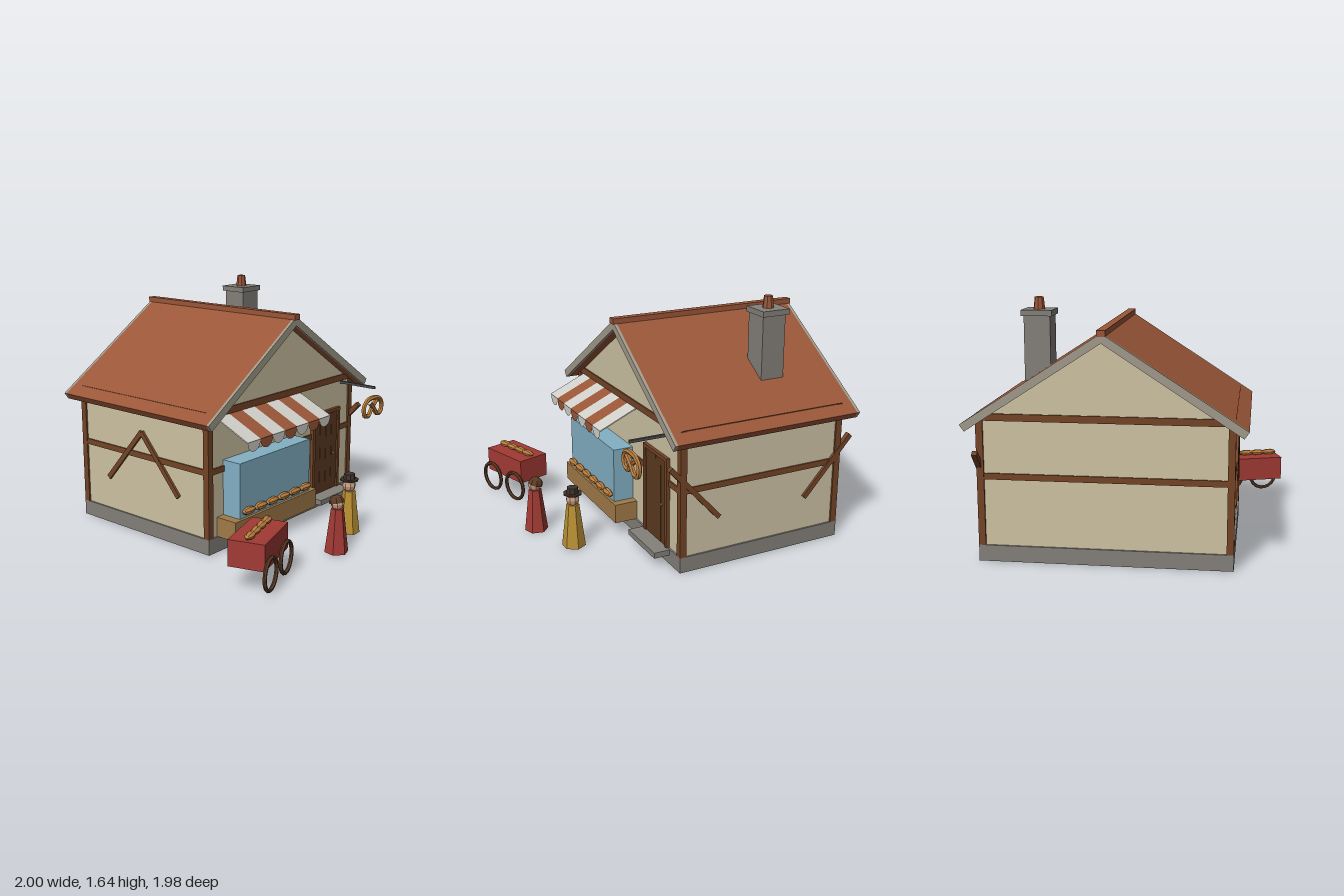
import * as THREE from 'three';

const COLORS = {
  plaster: 0xcdc2a3, wood: 0x734426, door: 0x5c391f, stone: 0x84807a, brick: 0x9a5638,
  trim: 0xa09a8a, glass: 0x83b0c4, counter: 0xa07a48, cloth: 0xd2d0ca, bread: 0xb97c3c,
  red: 0xa23a34, gold: 0xb98f34, skin: 0xc99e80, dark: 0x3f342a, wheel: 0x5a3a25, iron: 0x4a4a4a,
};
const mats = {};
for (const k in COLORS) {
  mats[k] = new THREE.MeshStandardMaterial({ color: COLORS[k], flatShading: true });
}
mats.cloth.side = mats.brick.side = THREE.DoubleSide;

function add(parent, name, geo, mat, x = 0, y = 0, z = 0) {
  const m = new THREE.Mesh(geo, mats[mat]);
  m.name = name;
  m.position.set(x, y, z);
  parent.add(m);
  return m;
}

// Box given by its min and max corners
function box(parent, name, mat, x0, x1, y0, y1, z0, z1) {
  return add(parent, name, new THREE.BoxGeometry(x1 - x0, y1 - y0, z1 - z0), mat,
    (x0 + x1) / 2, (y0 + y1) / 2, (z0 + z1) / 2);
}

// Outline in x,y extruded from z0 to z1
function slab(parent, name, mat, pts, z0, z1) {
  const shape = new THREE.Shape(pts.map(p => new THREE.Vector2(...p)));
  const geo = new THREE.ExtrudeGeometry(shape, { depth: z1 - z0, bevelEnabled: false });
  return add(parent, name, geo, mat, 0, 0, z0);
}

const X0 = -0.69, X1 = 0.92, Z0 = -0.905, Z1 = 0.30, CX = 0.113, CZ = -0.305;

function buildHouse(g) {
  box(g, 'foundation', 'stone', X0, X1, 0, 0.105, Z0, Z1);
  slab(g, 'walls', 'plaster', [[X0 + 0.012, 0.1], [X1 - 0.012, 0.1], [X1 - 0.012, 0.91],
    [CX, 1.42], [X0 + 0.012, 0.91]], Z0 + 0.012, Z1 - 0.012);

  // Timber frame
  for (const x of [X0, X1 - 0.045])
    for (const z of [Z0, Z1 - 0.045]) box(g, 'cornerPost', 'wood', x, x + 0.045, 0.105, 0.952, z, z + 0.045);
  for (const [y0, y1] of [[0.535, 0.575], [0.91, 0.955]]) {
    for (const z of [Z0 + 0.002, Z1 - 0.032]) box(g, 'crossBeam', 'wood', X0 + 0.02, X1 - 0.02, y0, y1, z, z + 0.03);
    for (const x of [X0 + 0.002, X1 - 0.032]) box(g, 'sideBeam', 'wood', x, x + 0.03, y0, y1, Z0 + 0.01, Z1 - 0.01);
  }

  // Slanted braces: outward on the left wall, meeting in a peak on the other
  for (const s of [-1, 1]) {
    for (const [x, footZ, topZ] of [[X1 - 0.012, 0.325, 0.675], [X0 + 0.012, 0.335, 0]]) {
      const dz = topZ - footZ, dy = 0.385;
      const b = add(g, 'brace', new THREE.BoxGeometry(0.034, 0.034, Math.hypot(dz, dy)), 'wood',
        x, 0.528, CZ + s * (footZ + topZ) / 2);
      b.rotation.x = -Math.atan2(dy, s * dz);
    }
  }

  // Roof, barge boards and ridge
  const chevron = [[CX - 0.883, 0.9], [CX - 0.853, 0.857], [CX, 1.412],
    [CX + 0.853, 0.857], [CX + 0.883, 0.9], [CX, 1.472]];
  slab(g, 'roof', 'brick', chevron, -0.968, 0.358);
  slab(g, 'bargeBoard', 'trim', chevron, 0.358, 0.378);
  slab(g, 'bargeBoard', 'trim', chevron, -0.988, -0.968);
  box(g, 'ridgeCap', 'brick', CX - 0.027, CX + 0.027, 1.452, 1.49, -0.995, 0.385);

  // Chimney
  box(g, 'chimney', 'stone', 0.505, 0.675, 1.0, 1.53, -0.59, -0.42);
  box(g, 'chimneyCap', 'stone', 0.49, 0.69, 1.53, 1.567, -0.61, -0.41);
  add(g, 'chimneyPot', new THREE.CylinderGeometry(0.029, 0.038, 0.078, 8), 'brick', 0.59, 1.606, -0.51);
}

function buildDoor(g) {
  box(g, 'doorStep', 'stone', 0.395, 0.78, 0.065, 0.103, 0.25, 0.41);
  box(g, 'doorFrame', 'wood', 0.42, 0.45, 0.105, 0.72, 0.27, 0.312);
  box(g, 'doorFrame', 'wood', 0.73, 0.755, 0.105, 0.72, 0.27, 0.312);
  box(g, 'doorFrame', 'wood', 0.45, 0.73, 0.695, 0.72, 0.27, 0.312);
  for (let i = 0; i < 4; i++)
    box(g, 'doorPlank', 'door', 0.45 + i * 0.07, 0.517 + i * 0.07, 0.105, 0.695, 0.27, 0.302);
  box(g, 'doorBack', 'dark', 0.45, 0.73, 0.105, 0.695, 0.26, 0.297);
  add(g, 'doorKnob', new THREE.SphereGeometry(0.01, 6, 5), 'gold', 0.68, 0.38, 0.31);
}

function loaf(parent, x, y, z, len, r) {
  const geo = new THREE.SphereGeometry(1, 7, 5).rotateZ(Math.PI / 2).scale(len / 2, r, r);
  return add(parent, 'loaf', geo, 'bread', x, y, z);
}

function buildStall(g) {
  box(g, 'counter', 'counter', -0.6, 0.275, 0.105, 0.237, 0.28, 0.45);
  box(g, 'displayCase', 'glass', -0.535, 0.215, 0.237, 0.612, 0.28, 0.43);
  for (let i = 0; i < 6; i++) loaf(g, -0.465 + i * 0.1225, 0.284, 0.448, 0.12, 0.027);

  // Striped awning with scalloped valance
  const w = 0.1264, drop = 0.12, run = 0.265;
  for (let i = 0; i < 7; i++) {
    const x = -0.605 + w * (i + 0.5), mat = i % 2 ? 'brick' : 'cloth';
    const strip = add(g, 'awningStripe', new THREE.BoxGeometry(w, 0.008, Math.hypot(drop, run)), mat,
      x, 0.907 - drop / 2, 0.288 + run / 2);
    strip.rotation.x = Math.atan2(drop, run);
    const s = new THREE.Shape();
    s.moveTo(-w / 2, 0);
    s.absarc(0, 0, w / 2, Math.PI, Math.PI * 2, false);
    add(g, 'awningScallop', new THREE.ShapeGeometry(s, 8), mat, x, 0.785, 0.553);
  }
}

function buildSign(g) {
  box(g, 'signBracket', 'iron', 0.78, 0.798, 0.888, 0.906, 0.27, 0.585);
  const half = [[0.055, 0.045], [0, 0], [-0.05, -0.055], [-0.1, -0.045], [-0.112, 0.015], [-0.07, 0.06]];
  const pts = [...half, [0, 0.071], ...half.map(([x, y]) => [-x, y]).reverse()];
  const n = pts.length - 1;
  const curve = new THREE.CatmullRomCurve3(pts.map(([x, y], i) =>
    new THREE.Vector3(x, y, (i / n - 0.5) * 0.012)));
  add(g, 'pretzelSign', new THREE.TubeGeometry(curve, 44, 0.017, 6), 'bread', 0.79, 0.75, 0.57);
}

function buildCart(g) {
  const cart = new THREE.Group();
  cart.name = 'cart';
  cart.position.set(-0.775, 0, 0.78);
  cart.rotation.y = 0.314;
  box(cart, 'cartBody', 'red', -0.2, 0.2, 0.155, 0.325, -0.118, 0.118);
  for (const s of [-1, 1])
    add(cart, 'cartWheel', new THREE.TorusGeometry(0.1, 0.013, 6, 18), 'wheel', s * 0.135, 0.12, 0.131);
  for (let i = 0; i < 4; i++) loaf(cart, -0.135 + i * 0.09, 0.344, 0, 0.115, 0.03).scale.y = 0.75;
  g.add(cart);
}

function buildPerson(g, name, x, z, robe, turn, hat) {
  const p = new THREE.Group();
  p.name = name;
  p.position.set(x, 0, z);
  p.rotation.y = turn;
  add(p, 'robe', new THREE.CylinderGeometry(0.043, 0.08, 0.3, 6), robe, 0, 0.15, 0);
  add(p, 'head', new THREE.SphereGeometry(0.046, 8, 6), 'skin', 0, 0.335, 0);
  if (hat) {
    add(p, 'hatBrim', new THREE.CylinderGeometry(0.064, 0.064, 0.01, 8), 'dark', 0, 0.377, 0);
    add(p, 'hatCrown', new THREE.CylinderGeometry(0.038, 0.042, 0.04, 8), 'dark', 0, 0.4, 0);
  } else {
    add(p, 'hair', new THREE.SphereGeometry(0.052, 8, 4, 0, Math.PI * 2, 0, Math.PI / 2), 'wheel', 0, 0.336, -0.004)
      .rotation.x = -0.25;
  }
  g.add(p);
}

export function createModel() {
  const root = new THREE.Group();
  root.name = 'bakery';
  for (const [name, build] of [['house', buildHouse], ['door', buildDoor], ['stall', buildStall], ['sign', buildSign]]) {
    const g = new THREE.Group();
    g.name = name;
    build(g);
    root.add(g);
  }
  buildCart(root);
  buildPerson(root, 'redVillager', -0.095, 0.885, 'red', -0.2, false);
  buildPerson(root, 'goldVillager', 0.247, 0.745, 'gold', Math.PI / 2, true);
  return root;
}
